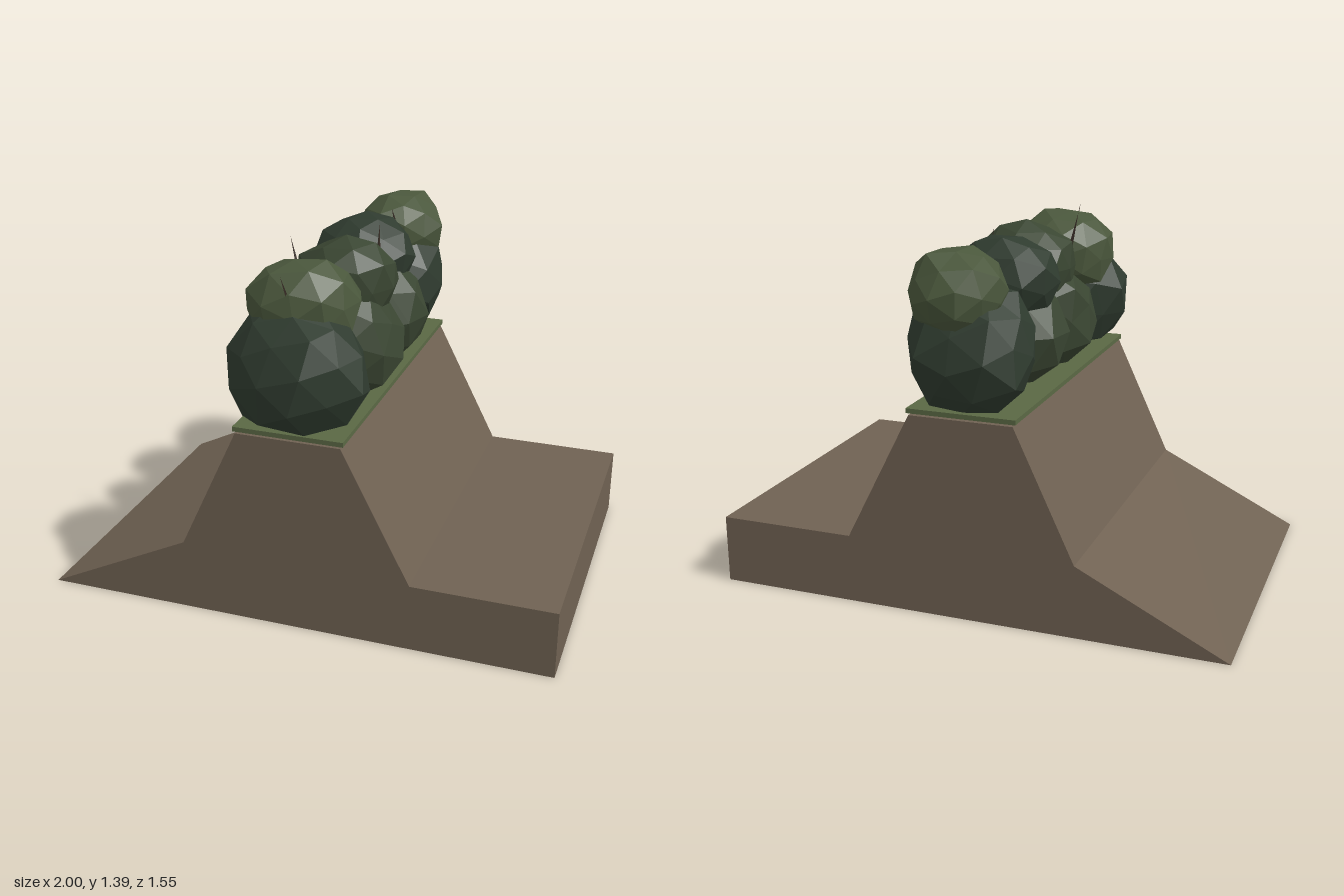
import * as THREE from 'three';
import { mergeVertices } from 'three/addons/utils/BufferGeometryUtils.js';

const paint = (color) => new THREE.MeshStandardMaterial({ color, flatShading: true });

// Repeatable pseudo-random numbers in -1..1
function seeded(seed) {
  let s = seed;
  return () => {
    s = (s * 16807) % 2147483647;
    return (s / 2147483647) * 2 - 1;
  };
}

// Faceted clump of foliage, jittered and flattened at the moss line
function clump(name, [x, y, z], [rx, ry, rz], seed, material) {
  const raw = new THREE.IcosahedronGeometry(1, 1);
  raw.deleteAttribute('normal');
  raw.deleteAttribute('uv');
  const geo = mergeVertices(raw, 1e-3);
  const rnd = seeded(seed * 7919 + 13);
  for (let i = 0; i < 5; i++) rnd();
  geo.rotateX(seed * 0.7);
  geo.rotateY(seed * 1.3);
  const pos = geo.attributes.position;
  const v = new THREE.Vector3();
  for (let i = 0; i < pos.count; i++) {
    v.fromBufferAttribute(pos, i).multiplyScalar(1 + 0.08 * rnd());
    pos.setXYZ(i, x + v.x * rx, Math.max(y + v.y * ry, 0.78), z + v.z * rz);
  }
  geo.computeVertexNormals();
  const mesh = new THREE.Mesh(geo, material);
  mesh.name = name;
  return mesh;
}

// Thin three-sided spike from a to b
function twig(a, b, material) {
  const from = new THREE.Vector3(...a);
  const dir = new THREE.Vector3(...b).sub(from);
  const geo = new THREE.ConeGeometry(0.009, dir.length(), 3);
  geo.translate(0, dir.length() / 2, 0);
  const mesh = new THREE.Mesh(geo, material);
  mesh.position.copy(from);
  mesh.quaternion.setFromUnitVectors(new THREE.Vector3(0, 1, 0), dir.normalize());
  mesh.name = 'twig';
  return mesh;
}

export function createModel() {
  const group = new THREE.Group();
  group.name = 'hedgeBank';

  // Earth bank: stepped profile swept along z
  const profile = [[-1, 0], [1, 0], [1, 0.265], [0.46, 0.265], [0.2, 0.77], [-0.2, 0.77], [-0.43, 0.28]];
  const shape = new THREE.Shape(profile.map(([x, y]) => new THREE.Vector2(x, y)));
  const bankGeo = new THREE.ExtrudeGeometry(shape, { depth: 1.335, bevelEnabled: false });
  bankGeo.translate(0, 0, -0.66);
  const bank = new THREE.Mesh(bankGeo, paint(0x6f6152));
  bank.name = 'earthBank';
  group.add(bank);

  // Moss strip along the crest
  const moss = new THREE.Mesh(new THREE.BoxGeometry(0.42, 0.018, 1.335), paint(0x5a6844));
  moss.position.set(0, 0.786, 0.0075);
  moss.name = 'mossStrip';
  group.add(moss);

  // Hedge: a low row of large clumps, a high row of smaller ones
  const hedge = new THREE.Group();
  hedge.name = 'hedge';
  const dark = paint(0x2f3b2f);
  const mid = paint(0x3a4632);
  const light = paint(0x4a573c);
  const lower = [
    [[0, 1.0, 0.555], [0.26, 0.25, 0.225], dark],
    [[0.02, 0.98, 0.17], [0.25, 0.24, 0.23], mid],
    [[0.02, 0.99, -0.16], [0.25, 0.25, 0.22], mid],
    [[0, 1.0, -0.53], [0.25, 0.25, 0.23], dark],
  ];
  const upper = [
    [[-0.02, 1.2, 0.44], [0.21, 0.175, 0.2], light],
    [[0.03, 1.19, 0.11], [0.2, 0.175, 0.18], mid],
    [[0, 1.2, -0.21], [0.2, 0.175, 0.19], dark],
    [[0.04, 1.22, -0.57], [0.18, 0.165, 0.2], light],
  ];
  lower.forEach(([c, r, m], i) => hedge.add(clump('lowerFoliage', c, r, i + 1, m)));
  upper.forEach(([c, r, m], i) => hedge.add(clump('upperFoliage', c, r, i + 11, m)));

  // Bare twigs poking out of the top
  const bark = paint(0x3b3028);
  [
    [[-0.02, 1.23, 0.57], [-0.02, 1.37, 0.655]],
    [[-0.11, 1.25, 0.25], [-0.14, 1.39, 0.25]],
    [[0.09, 1.25, -0.09], [0.1, 1.37, -0.075]],
    [[0.06, 1.26, -0.43], [0.06, 1.36, -0.36]],
  ].forEach(([a, b]) => hedge.add(twig(a, b, bark)));
  group.add(hedge);

  return group;
}
